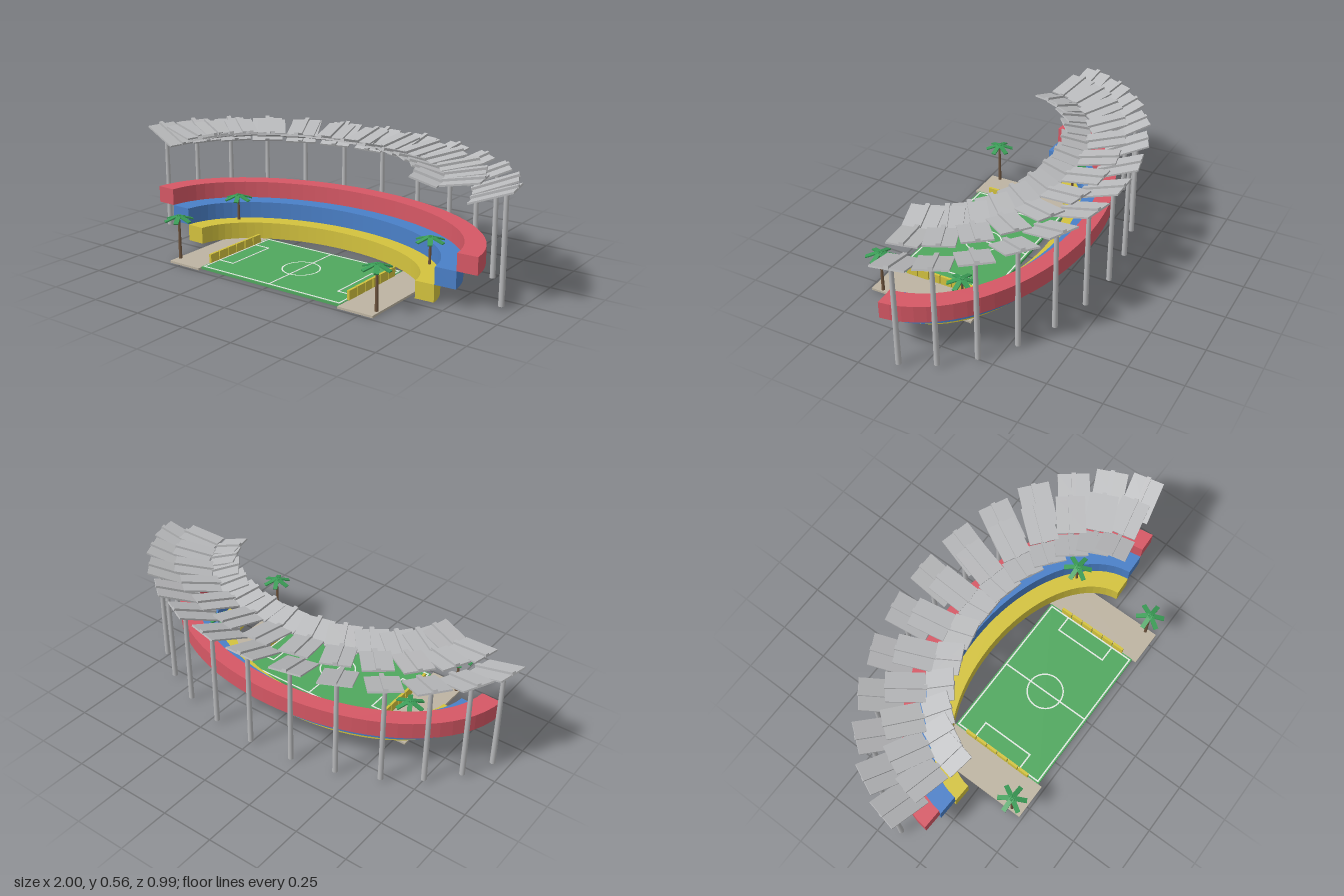
import * as THREE from 'three';

const mat = (name, color) => {
  const m = new THREE.MeshStandardMaterial({ color });
  m.name = name;
  return m;
};

const CZ = 0.23; // z of the shared centre of all elliptical rings
const RAD = Math.PI / 180;

export function createModel() {
  const root = new THREE.Group();
  root.name = 'stadium';
  const red = mat('red stand', 0xd65865);
  const blue = mat('blue stand', 0x4a80c8);
  const yellow = mat('yellow stand', 0xd4c33e);
  const grey = mat('roof grey', 0xb9babc);
  const grass = mat('pitch green', 0x50a85e);
  const white = mat('line white', 0xe2e8e2);
  const sand = mat('paving', 0xbdb4a2);
  const leaf = mat('palm green', 0x3a9c56);
  const bark = mat('bark brown', 0x70563f);

  const add = (parent, name, geo, material, x = 0, y = 0, z = 0) => {
    const m = new THREE.Mesh(geo, material);
    m.name = name;
    m.position.set(x, y, z);
    parent.add(m);
    return m;
  };
  const box = (parent, name, material, w, h, d, x, y, z) =>
    add(parent, name, new THREE.BoxGeometry(w, h, d), material, x, y, z);

  // Pitch and paved sides
  box(root, 'pitch', grass, 0.77, 0.012, 0.485, 0, 0.006, 0.2225);
  for (const s of [-1, 1]) {
    box(root, 'pavedSide', sand, 0.175, 0.01, 0.52, s * 0.4725, 0.005, 0.225);
  }

  // Pitch markings
  const W = 0.007;
  const line = (x0, x1, z0, z1) => box(root, 'pitchLine', white,
    Math.abs(x1 - x0) + W, 0.002, Math.abs(z1 - z0) + W, (x0 + x1) / 2, 0.0125, (z0 + z1) / 2);
  line(0, 0, -0.01, 0.455);
  line(-0.375, 0.375, -0.01, -0.01);
  line(-0.375, 0.375, 0.455, 0.455);
  for (const s of [-1, 1]) {
    line(s * 0.375, s * 0.375, -0.01, 0.455);
    line(s * 0.295, s * 0.295, 0.09, 0.35);
    line(s * 0.295, s * 0.375, 0.09, 0.09);
    line(s * 0.295, s * 0.375, 0.35, 0.35);
  }
  const ring = new THREE.RingGeometry(0.083, 0.09, 40).rotateX(-Math.PI / 2);
  add(root, 'centreCircle', ring, white, 0, 0.0136, 0.2225);

  // Low barriers along both ends of the pitch
  for (const s of [-1, 1]) {
    for (let i = 0; i < 6; i++) {
      box(root, 'barrier', yellow, 0.012, 0.043, 0.055, s * 0.385, 0.0325, 0.377 - i * 0.0605);
    }
  }

  // Three stepped tiers, each an elliptical arc extruded upward
  const tier = (name, material, outer, inner, y) => {
    const N = 36, start = 3 * RAD, span = Math.PI - 2 * start;
    const pts = [];
    for (let i = 0; i <= N; i++) {
      const t = start + (span * i) / N;
      pts.push(new THREE.Vector2(outer[0] * Math.cos(t), outer[1] * Math.sin(t)));
    }
    for (let i = N; i >= 0; i--) {
      const t = start + (span * i) / N;
      pts.push(new THREE.Vector2(inner[0] * Math.cos(t), inner[1] * Math.sin(t)));
    }
    const geo = new THREE.ExtrudeGeometry(new THREE.Shape(pts), { depth: 0.08, bevelEnabled: false });
    geo.rotateX(-Math.PI / 2);
    add(root, name, geo, material, 0, y, CZ + 0.01);
  };
  const rings = [[0.6, 0.35], [0.69, 0.428], [0.79, 0.506], [0.885, 0.585]];
  tier('lowerTier', yellow, rings[1], rings[0], 0.01);
  tier('middleTier', blue, rings[2], rings[1], 0.09);
  tier('upperTier', red, rings[3], rings[2], 0.17);

  // Roof: columns and three rings of tilted ribbed panels
  const panel = (name, t, a, b, offset, y, length, width, tilt) => {
    const arm = new THREE.Group();
    arm.name = name;
    arm.position.set(a * Math.cos(t), y, CZ - b * Math.sin(t));
    arm.rotation.y = t;
    const slab = new THREE.Group();
    slab.position.x = offset;
    slab.rotation.z = tilt * RAD;
    box(slab, 'panelSlab', grey, length, 0.008, width, 0, 0, 0);
    box(slab, 'panelRib', grey, length + 0.01, 0.014, 0.02, 0, 0.008, 0);
    arm.add(slab);
    root.add(arm);
  };
  const columnGeo = new THREE.CylinderGeometry(0.01, 0.013, 0.49, 10);
  for (let i = 0; i < 13; i++) {
    const t = (12 + 13 * i) * RAD;
    add(root, 'column', columnGeo, grey,
      0.957 * Math.cos(t), 0.257, CZ - 0.67 * Math.sin(t));
    panel('outerRoofPanel', t, 0.955, 0.672, -0.045, 0.49, 0.2, 0.148, 20);
    panel('middleRoofPanel', t, 0.775, 0.535, 0, 0.527, 0.175, 0.135, 10);
    panel('innerRoofPanel', t, 0.62, 0.39, 0, 0.522, 0.125, 0.148, -16);
  }

  // Palms with six drooping leaves
  const trunkGeo = new THREE.CylinderGeometry(0.005, 0.008, 0.205, 8);
  const leafGeo = new THREE.BoxGeometry(0.07, 0.006, 0.022).translate(0.035, 0, 0);
  for (const x of [-0.545, 0.545]) {
    for (const z of [0.432, 0.012]) {
      const palm = new THREE.Group();
      palm.name = 'palm';
      palm.position.set(x, 0.01, z);
      add(palm, 'trunk', trunkGeo, bark, 0, 0.1025, 0);
      for (let i = 0; i < 6; i++) {
        const frond = add(palm, 'leaf', leafGeo, leaf, 0, 0.208, 0);
        frond.rotation.set(0, (i * Math.PI) / 3, -0.33);
      }
      root.add(palm);
    }
  }
  return root;
}
